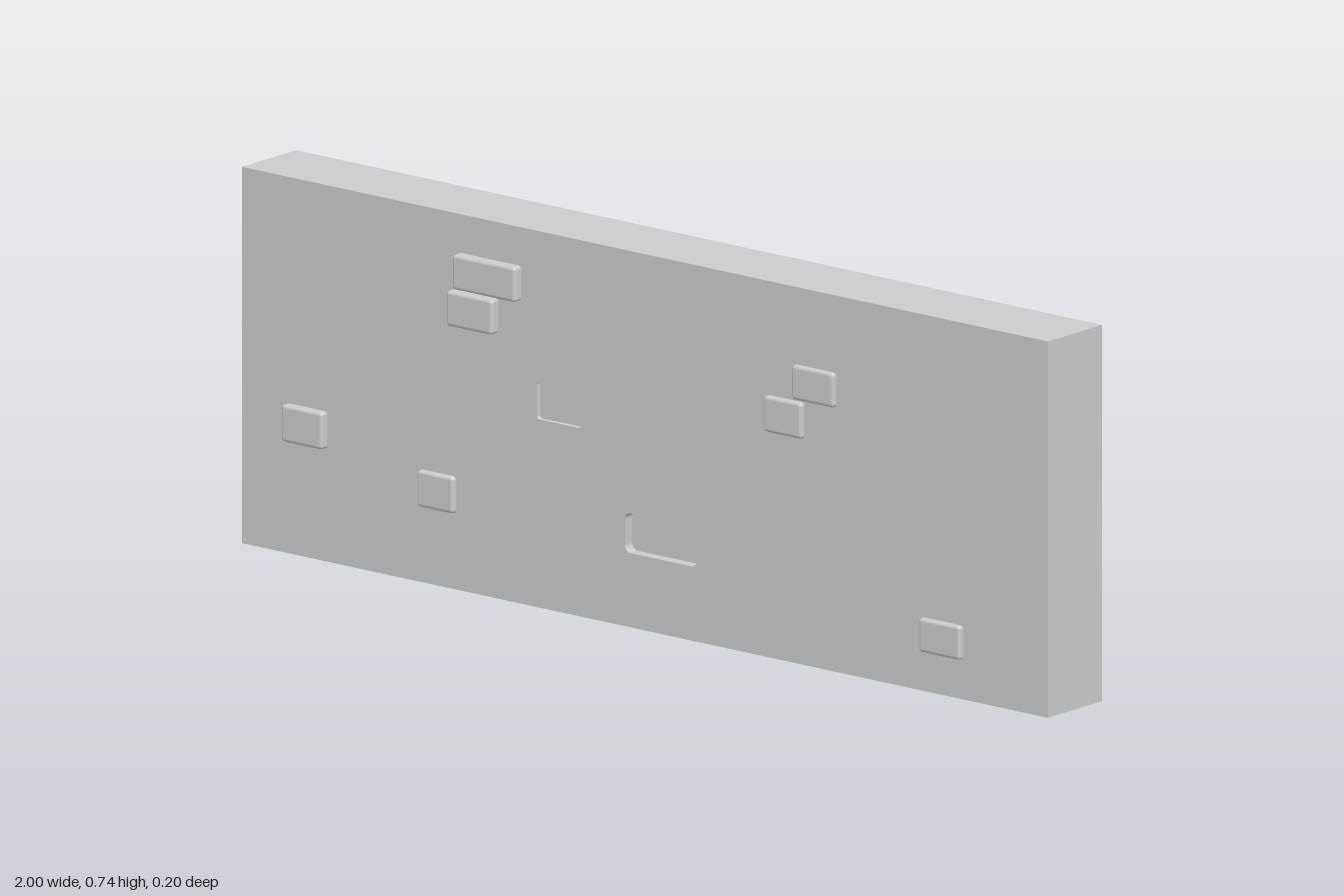
import * as THREE from 'three';
import { RoundedBoxGeometry } from 'three/addons/geometries/RoundedBoxGeometry.js';

const HEIGHT = 0.74, THICK = 0.16;

// Raised bricks: left, right, bottom, top, reach from the wall's mid plane
const BRICKS = [
  [-0.463, -0.307, 0.595, 0.664, 0.100],
  [-0.478, -0.364, 0.521, 0.590, 0.100],
  [-0.890, -0.788, 0.222, 0.295, 0.097],
  [-0.558, -0.468, 0.150, 0.222, 0.091],
  [0.302, 0.396, 0.445, 0.516, 0.091],
  [0.370, 0.475, 0.520, 0.588, 0.090],
  [0.687, 0.790, 0.078, 0.145, 0.091],
];

// Sunken bricks: left, right, bottom, top, corner radius, depth of the pocket
const POCKETS = [
  [-0.268, -0.158, 0.370, 0.443, 0.006, 0.010],
  [-0.050, 0.130, 0.146, 0.224, 0.015, 0.022],
];

// Rounded rectangle outline, used for a pocket and its floor
function roundedRect(path, [x0, x1, y0, y1, r]) {
  path.absarc(x1 - r, y1 - r, r, 0, Math.PI / 2);
  path.absarc(x0 + r, y1 - r, r, Math.PI / 2, Math.PI);
  path.absarc(x0 + r, y0 + r, r, Math.PI, Math.PI * 1.5);
  path.absarc(x1 - r, y0 + r, r, Math.PI * 1.5, Math.PI * 2);
  path.closePath();
  return path;
}

// Extrude a shape so it is centred on z = 0
function centredExtrude(shape, depth) {
  const geometry = new THREE.ExtrudeGeometry(shape, { depth, bevelEnabled: false, curveSegments: 4 });
  return geometry.translate(0, 0, -depth / 2);
}

export function createModel() {
  const model = new THREE.Group();
  model.name = 'brickWall';
  const material = new THREE.MeshStandardMaterial({ color: 0xcccccc });
  const add = (name, geometry) => {
    const mesh = new THREE.Mesh(geometry, material);
    mesh.name = name;
    model.add(mesh);
    return mesh;
  };

  // Wall slab, cut open where bricks are sunken
  const outline = new THREE.Shape([
    new THREE.Vector2(-1, 0), new THREE.Vector2(1, 0),
    new THREE.Vector2(1, HEIGHT), new THREE.Vector2(-1, HEIGHT),
  ]);
  for (const pocket of POCKETS) outline.holes.push(roundedRect(new THREE.Path(), pocket));
  add('wallSlab', centredExtrude(outline, THICK));

  // Sunken bricks close the openings below both faces
  POCKETS.forEach((pocket, i) => {
    const shape = roundedRect(new THREE.Shape(), pocket);
    add(`sunkenBrick${i + 1}`, centredExtrude(shape, THICK - 2 * pocket[5]));
  });

  // Raised bricks pass through the wall and stand out on both faces
  BRICKS.forEach(([x0, x1, y0, y1, reach], i) => {
    const brick = add(`raisedBrick${i + 1}`, new RoundedBoxGeometry(x1 - x0, y1 - y0, reach * 2, 3, 0.007));
    brick.position.set((x0 + x1) / 2, (y0 + y1) / 2, 0);
  });

  return model;
}
